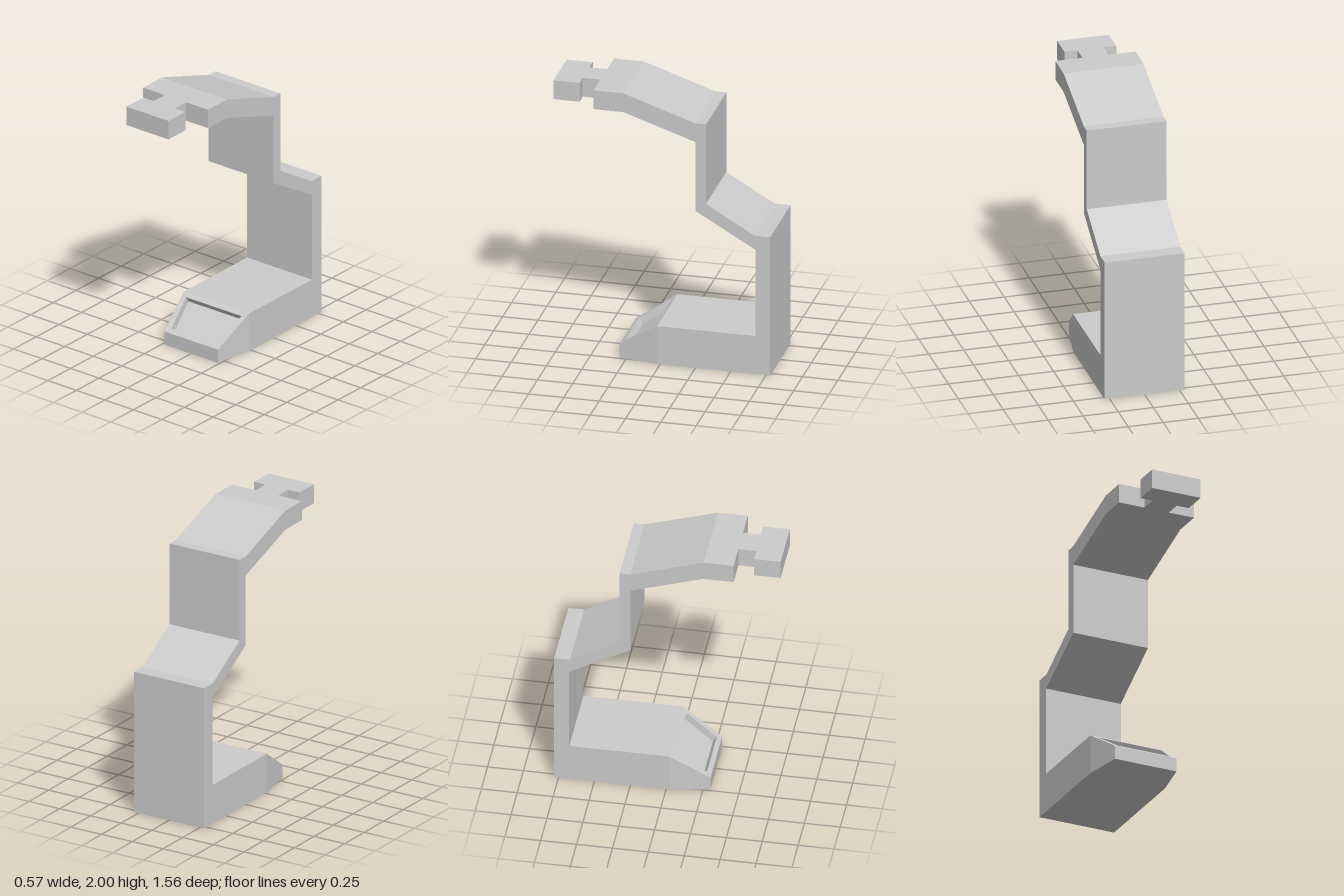
import * as THREE from 'three';

const material = new THREE.MeshStandardMaterial({ color: 0xcccccc, flatShading: true });
const W = 0.285; // half width of the bracket

function addPart(group, name, geometry) {
  const mesh = new THREE.Mesh(geometry, material);
  mesh.name = name;
  group.add(mesh);
}

function extrude(points, depth) {
  const shape = new THREE.Shape(points.map(([x, y]) => new THREE.Vector2(x, y)));
  return new THREE.ExtrudeGeometry(shape, { depth, bevelEnabled: false });
}

// Bent side profile (z, y), extruded across the width
function bracketGeometry() {
  const profile = [
    [0.02, 0], [0.02, 0.285], [-0.675, 0.285], [-0.675, 0.93],
    [-0.25, 1.175], [-0.25, 1.69], [0.26, 1.86], [0.47, 1.86],
    [0.47, 2], [0.26, 2], [-0.25, 1.83], [-0.325, 1.83],
    [-0.325, 1.235], [-0.67, 1.035], [-0.78, 1.035], [-0.78, 0],
  ];
  return extrude(profile.map(([z, y]) => [-z, y]), 2 * W)
    .rotateY(Math.PI / 2).translate(-W, 0, 0);
}

// T-shaped tongue: plan outline (x, z), extruded upwards
function tongueGeometry() {
  const half = [[0.093, 0.47], [0.093, 0.595], [0.185, 0.595], [0.185, 0.78]];
  const outline = [...half, ...half.map(([x, z]) => [-x, z]).reverse()];
  return extrude(outline.map(([x, z]) => [x, -z]), 0.14)
    .rotateX(-Math.PI / 2).translate(0, 1.86, 0);
}

// Tapered toe with a sloped face and a sunken trapezoid pocket
function toeGeometry() {
  const back = 0.02, front = 0.3, top = 0.285, low = 0.1, tip = 0.235;
  const run = front - back, rise = top - low, len = Math.hypot(run, rise);
  const positions = [];
  const quad = (a, b, c, d) => positions.push(...a, ...b, ...c, ...a, ...c, ...d);
  const onSlope = (x, y) => [x, y, back + (top - y) * run / rise];
  const trapezoid = (xLow, yLow, xTop, yTop) => [
    onSlope(-xLow, yLow), onSlope(xLow, yLow), onSlope(xTop, yTop), onSlope(-xTop, yTop),
  ];
  const outer = trapezoid(tip, low, W, top);
  const rim = trapezoid(0.197, 0.12, 0.243, 0.265);
  const depth = 0.05;
  const floor = rim.map(([x, y, z]) => [x, y - depth * run / len, z - depth * rise / len]);

  // sloped frame, pocket walls and pocket floor
  for (let i = 0; i < 4; i++) {
    const j = (i + 1) % 4;
    quad(outer[i], outer[j], rim[j], rim[i]);
    quad(rim[i], rim[j], floor[j], floor[i]);
  }
  quad(...floor);

  // front, sides and underside
  const fl = [-tip, 0, front], fr = [tip, 0, front];
  const bl = [-W, 0, back], br = [W, 0, back];
  quad(fl, fr, outer[1], outer[0]);
  quad(fr, br, outer[2], outer[1]);
  quad(bl, fl, outer[0], outer[3]);
  quad(bl, br, fr, fl);

  const geometry = new THREE.BufferGeometry();
  geometry.setAttribute('position', new THREE.Float32BufferAttribute(positions, 3));
  geometry.computeVertexNormals();
  return geometry;
}

export function createModel() {
  const group = new THREE.Group();
  group.name = 'bentBracket';
  addPart(group, 'bracketBody', bracketGeometry());
  addPart(group, 'tongue', tongueGeometry());
  addPart(group, 'toe', toeGeometry());
  return group;
}
